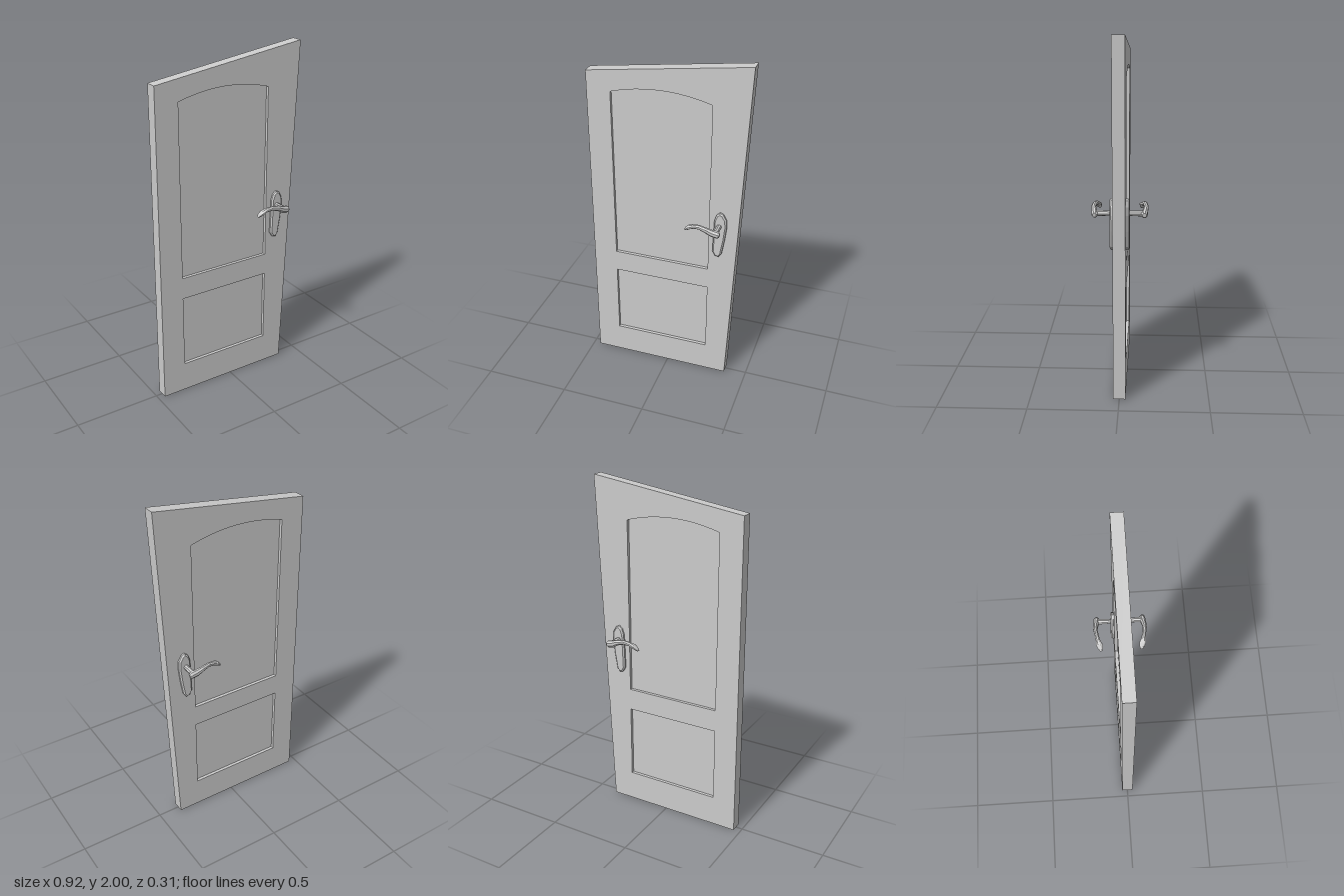
import * as THREE from 'three';

const material = new THREE.MeshStandardMaterial({ color: 0xcccccc, flatShading: true });
const HALF = 0.034; // half the door thickness
const INSET = 0.016; // half the panel thickness

function part(name, geometry) {
  const mesh = new THREE.Mesh(geometry, material);
  mesh.name = name;
  return mesh;
}

// Slab centred on z = 0
function slab(shape, half) {
  const g = new THREE.ExtrudeGeometry(shape, { depth: half * 2, bevelEnabled: false, curveSegments: 12 });
  return g.translate(0, 0, -half);
}

// Rectangle whose top edge may rise to an arch
function panelShape(y0, y1, rise) {
  const l = -0.32, r = 0.245;
  const s = new THREE.Shape();
  s.moveTo(l, y0);
  s.lineTo(r, y0);
  s.lineTo(r, y1);
  if (rise) s.quadraticCurveTo((l + r) / 2, y1 + rise * 2, l, y1);
  else s.lineTo(l, y1);
  s.closePath();
  return s;
}

// Skin over oval sections [x, y, z, halfHeight, halfDepth] following a path in x and y
function loft(sections, sides) {
  const pos = [], index = [], n = sections.length;
  sections.forEach(([x, y, z, h, d], i) => {
    const a = sections[Math.max(i - 1, 0)], b = sections[Math.min(i + 1, n - 1)];
    const len = Math.hypot(b[0] - a[0], b[1] - a[1]);
    const nx = (b[1] - a[1]) / len, ny = -(b[0] - a[0]) / len;
    for (let k = 0; k < sides; k++) {
      const t = ((k + 0.5) / sides) * Math.PI * 2;
      pos.push(x + Math.cos(t) * h * nx, y + Math.cos(t) * h * ny, z + Math.sin(t) * d);
    }
  });
  for (let i = 0; i < n - 1; i++) {
    for (let k = 0; k < sides; k++) {
      const a = i * sides + k, b = i * sides + ((k + 1) % sides);
      index.push(a, a + sides, b, b, a + sides, b + sides);
    }
  }
  // End caps
  const last = (n - 1) * sides;
  for (let k = 1; k < sides - 1; k++) {
    index.push(0, k, k + 1, last, last + k + 1, last + k);
  }
  // Orient the skin outward using its signed volume
  const p = (i) => new THREE.Vector3().fromArray(pos, i * 3);
  let volume = 0;
  for (let i = 0; i < index.length; i += 3) {
    volume += p(index[i]).dot(p(index[i + 1]).cross(p(index[i + 2])));
  }
  if (volume < 0) index.reverse();
  const g = new THREE.BufferGeometry();
  g.setAttribute('position', new THREE.Float32BufferAttribute(pos, 3));
  g.setIndex(index);
  return g;
}

// Mirror across z = 0 and turn the faces outward again
function mirrorZ(geometry) {
  const g = geometry.index ? geometry.toNonIndexed() : geometry;
  g.scale(1, 1, -1);
  const p = g.attributes.position;
  const a = new THREE.Vector3(), b = new THREE.Vector3();
  for (let i = 0; i < p.count; i += 3) {
    a.fromBufferAttribute(p, i + 1);
    b.fromBufferAttribute(p, i + 2);
    p.setXYZ(i + 1, b.x, b.y, b.z);
    p.setXYZ(i + 2, a.x, a.y, a.z);
  }
  return g;
}

function createHandle(name, back) {
  const group = new THREE.Group();
  group.name = name;
  const add = (label, g) => {
    const geometry = back ? mirrorZ(g) : g.index ? g.toNonIndexed() : g;
    geometry.computeVertexNormals();
    group.add(part(label, geometry));
  };

  // Tapered backplate with chamfered rim
  const outline = [
    [0.288, 0.862], [0.310, 0.857], [0.325, 0.88], [0.340, 0.97], [0.350, 1.06],
    [0.346, 1.105], [0.328, 1.137], [0.310, 1.146], [0.290, 1.130], [0.278, 1.095],
    [0.275, 1.0], [0.272, 0.89],
  ].map(([x, y]) => new THREE.Vector2(x, y));
  const plate = new THREE.ExtrudeGeometry(new THREE.Shape(outline), {
    depth: 0.010, bevelThickness: 0.008, bevelSize: 0.008, bevelOffset: -0.008, bevelSegments: 1,
  });
  add('backplate', plate.translate(0, 0, HALF + 0.001));

  // Spindle carrying the lever
  const spindle = new THREE.CylinderGeometry(0.017, 0.014, 0.085, 8).rotateX(Math.PI / 2);
  add('spindle', spindle.translate(0.308, 1.063, 0.0925));

  // Curved lever, swelling before its pointed tip
  add('lever', loft([
    [0.333, 1.058, 0.133, 0.013, 0.011],
    [0.322, 1.060, 0.132, 0.021, 0.018],
    [0.292, 1.067, 0.136, 0.021, 0.016],
    [0.255, 1.085, 0.142, 0.016, 0.013],
    [0.215, 1.092, 0.136, 0.013, 0.012],
    [0.182, 1.086, 0.130, 0.012, 0.014],
    [0.160, 1.076, 0.124, 0.012, 0.021],
    [0.142, 1.060, 0.119, 0.010, 0.015],
    [0.132, 1.050, 0.117, 0.005, 0.008],
  ], 8));
  return group;
}

export function createModel() {
  const model = new THREE.Group();
  model.name = 'door';

  // Skewed door leaf with two panel openings
  const leaf = new THREE.Shape([
    [-0.46, 0], [0.37, 0], [0.455, 2], [-0.456, 1.873],
  ].map(([x, y]) => new THREE.Vector2(x, y)));
  const panels = { upperPanel: panelShape(0.75, 1.77, 0.042), lowerPanel: panelShape(0.18, 0.62, 0) };
  leaf.holes.push(...Object.values(panels));
  model.add(part('doorFrame', slab(leaf, HALF)));

  // Recessed panels filling the openings
  for (const [name, shape] of Object.entries(panels)) model.add(part(name, slab(shape, INSET)));

  model.add(createHandle('frontHandle', false), createHandle('backHandle', true));
  return model;
}
